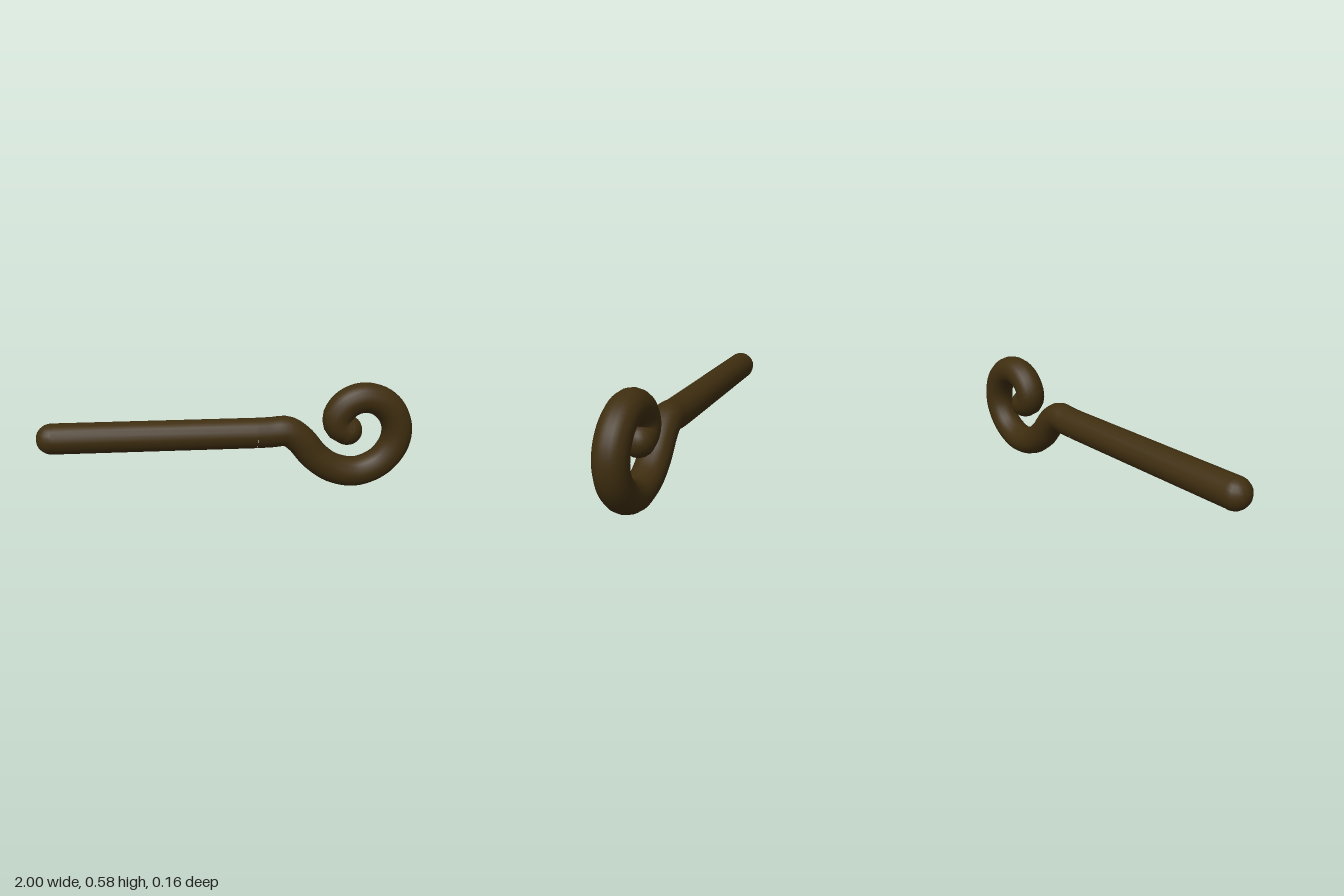
import * as THREE from 'three';

export function createModel() {
  const model = new THREE.Group();
  const darkBrown = new THREE.MeshStandardMaterial({ color: 0x3f2e10 });
  darkBrown.name = 'darkBrown';
  const radius = 0.081;

  const add = (name, geometry) => {
    const mesh = new THREE.Mesh(geometry, darkBrown);
    mesh.name = name;
    model.add(mesh);
    return mesh;
  };

  // Straight rod with a rounded end
  const rodStart = -0.92, rodEnd = 0.15, rodY = 0.323;
  const rod = add('rod', new THREE.CylinderGeometry(radius, radius, rodEnd - rodStart, 16, 1, true));
  rod.rotation.z = Math.PI / 2;
  rod.position.set((rodStart + rodEnd) / 2, rodY, 0);

  // Crook that dips below the rod and curls inward into a spiral
  const path = [
    [rodEnd, rodY], [0.23, 0.325], [0.315, 0.328], [0.385, 0.28], [0.47, 0.18],
    [0.57, 0.11], [0.7, 0.085], [0.825, 0.135], [0.9, 0.235], [0.912, 0.335],
    [0.875, 0.425], [0.805, 0.485], [0.715, 0.504], [0.63, 0.47], [0.585, 0.4],
    [0.597, 0.35], [0.64, 0.325],
  ].map(([x, y]) => new THREE.Vector3(x, y, 0));
  const curve = new THREE.CatmullRomCurve3(path);
  add('spiralHook', new THREE.TubeGeometry(curve, 72, radius, 16, false));

  // Rounded caps on both ends
  const cap = (name, x, y) =>
    add(name, new THREE.SphereGeometry(radius, 16, 12)).position.set(x, y, 0);
  cap('rodTip', rodStart, rodY);
  cap('spiralTip', 0.64, 0.325);

  return model;
}
